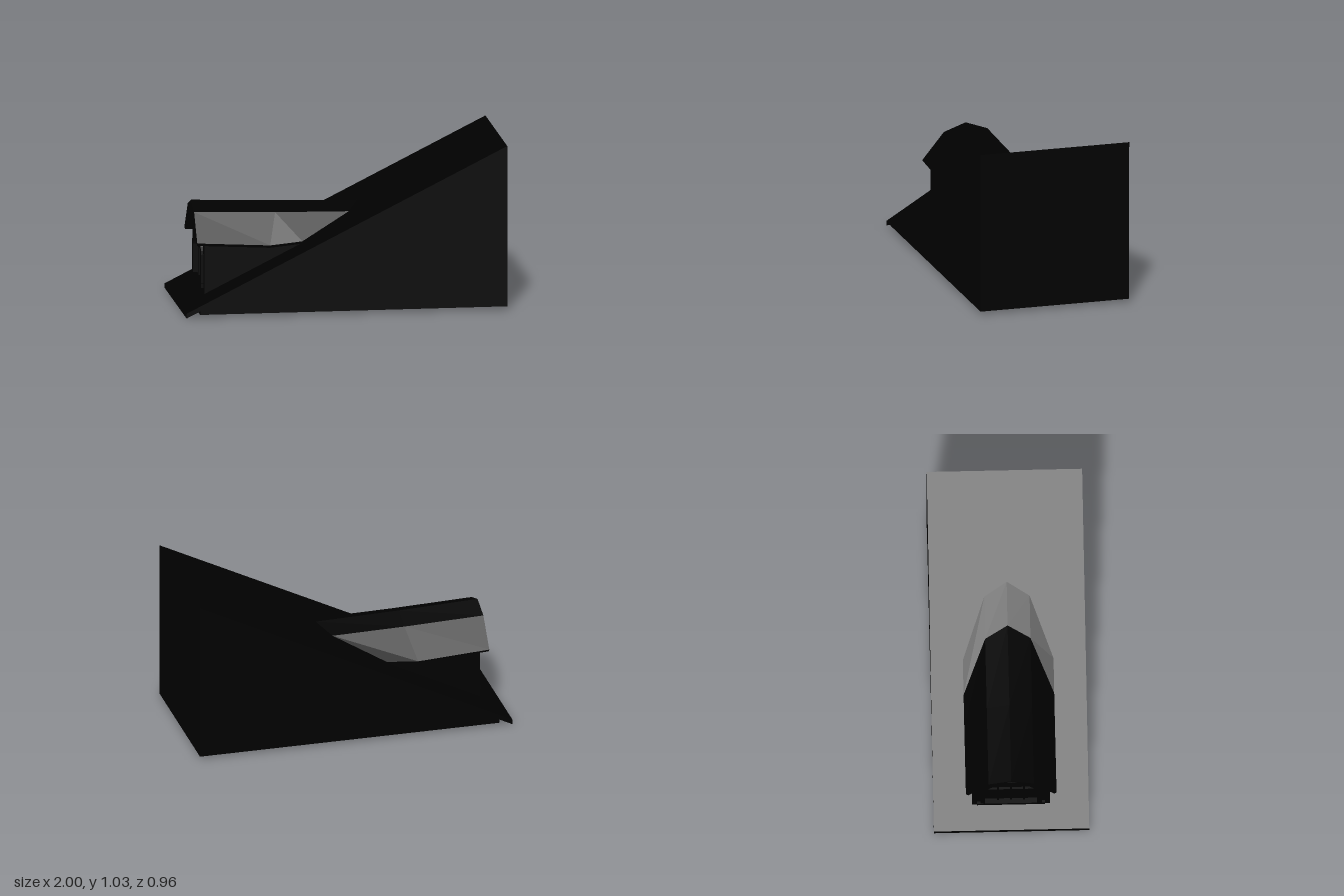
import * as THREE from 'three';

const material = new THREE.MeshStandardMaterial({ color: 0x000000, side: THREE.DoubleSide, flatShading: true });
const HALF = 0.48, THICK = 0.03, SIDE = 0.24, FRONT = -0.855;
const roofY = (x) => 0.03 + 0.5 * (x + 1);

function add(parent, name, geometry, x = 0, y = 0, z = 0) {
  const mesh = new THREE.Mesh(geometry, material);
  mesh.name = name;
  mesh.position.set(x, y, z);
  parent.add(mesh);
  return mesh;
}
const polygon = (pts) => new THREE.Shape(pts.map(([x, y]) => new THREE.Vector2(x, y)));

// Round-topped outline in the plane of the window
function arch(w, bottom, spring, top) {
  const s = new THREE.Shape();
  s.moveTo(-w, bottom);
  s.lineTo(w, bottom);
  s.lineTo(w, spring);
  s.absellipse(0, spring, w, top - spring, 0, Math.PI, false, 0);
  s.lineTo(-w, bottom);
  return s;
}
// Extrudes a (z, y) shape towards -x
function facing(shape, depth) {
  return new THREE.ExtrudeGeometry(shape, { depth, bevelEnabled: false, curveSegments: 12 }).rotateY(-Math.PI / 2);
}

// Sloping slab with an opening under the dormer
function roofSlab() {
  const shape = polygon([[-1, -HALF], [1, -HALF], [1, HALF], [-1, HALF]]);
  shape.holes.push(polygon([[-0.84, -0.23], [-0.84, 0.23], [-0.3, 0.23], [-0.02, 0.12],
    [0.05, 0], [-0.02, -0.12], [-0.3, -0.23]]));
  const g = new THREE.ExtrudeGeometry(shape, { depth: THICK, bevelEnabled: false }).rotateX(Math.PI / 2);
  const p = g.attributes.position;
  for (let i = 0; i < p.count; i++) p.setY(i, p.getY(i) + roofY(p.getX(i)));
  g.computeVertexNormals();
  return g;
}

// Faceted barrel roof that flares out into the main slope
function dormerRoof() {
  const end = (x) => [x, roofY(x) + 0.002];
  const eave = [[-0.905, 0.43], [-0.45, 0.405], [-0.25, 0.425], end(-0.05)];
  const mid = [[-0.905, 0.6], [-0.4, 0.585], [0.06, 0.578], end(0.3)];
  const ridge = [[-0.905, 0.65], [-0.4, 0.632], [0.13, 0.62], end(0.38)];
  const outer = [[0.28, eave], [0.14, mid], [0, ridge], [-0.14, mid], [-0.28, eave]];
  const pos = [], index = [], n = outer.length * 2;
  for (let r = 0; r < 4; r++) {
    for (const [z, path] of outer) pos.push(path[r][0], path[r][1], z);
    for (const [z, path] of [...outer].reverse()) pos.push(path[r][0], path[r][1] - 0.018, z * 0.95);
  }
  for (let r = 0; r < 3; r++) {
    for (let j = 0; j < n; j++) {
      const a = r * n + j, b = r * n + (j + 1) % n;
      index.push(a, a + n, b, b, a + n, b + n);
    }
  }
  // Front and back edges of the shell
  for (let j = 0; j < outer.length - 1; j++) {
    const k = n - 1 - j, e = 3 * n;
    index.push(j, j + 1, k, j + 1, k - 1, k);
    index.push(e + j, e + k, e + j + 1, e + j + 1, e + k, e + k - 1);
  }
  const g = new THREE.BufferGeometry();
  g.setAttribute('position', new THREE.Float32BufferAttribute(pos, 3));
  g.setIndex(index);
  const flat = g.toNonIndexed();
  flat.computeVertexNormals();
  return flat;
}

export function createModel() {
  const model = new THREE.Group();
  model.name = 'roofWithDormer';

  // Main roof and the walls below it, open underneath
  add(model, 'mainRoof', roofSlab());
  const gable = polygon([[-0.915, 0.02], [1, 0.02], [1, roofY(1) - 0.002], [-0.915, roofY(-0.915) - 0.002]]);
  for (const s of [-1, 1]) add(model, 'gableWall', new THREE.ShapeGeometry(gable), 0, 0, s * (HALF - 0.001));
  const wall = (x, top) => add(model, 'endWall',
    new THREE.PlaneGeometry(2 * HALF, top - 0.02).rotateY(Math.PI / 2), x, (top + 0.02) / 2, 0);
  wall(0.999, roofY(1) - 0.002);
  wall(-0.915, roofY(-0.915) - 0.01);

  const dormer = new THREE.Group();
  dormer.name = 'dormer';
  model.add(dormer);
  add(dormer, 'dormerRoof', dormerRoof());

  // Dormer cheeks
  const cheek = polygon([[FRONT, 0.08], [FRONT, 0.46], [-0.4, 0.445], [-0.18, 0.44]]);
  for (const s of [-1, 1]) add(dormer, 'dormerCheek', new THREE.ShapeGeometry(cheek), 0, 0, s * SIDE);

  // Front wall with an arched opening
  const front = polygon([[-SIDE, 0.085], [SIDE, 0.085], [SIDE, 0.465], [0.135, 0.585],
    [0, 0.635], [-0.135, 0.585], [-SIDE, 0.465]]);
  front.holes.push(arch(0.165, 0.15, 0.34, 0.5));
  add(dormer, 'dormerFront', facing(front, 0.03), FRONT + 0.03);

  // Window casing, pane, glazing bars and sill
  const casing = arch(0.19, 0.14, 0.34, 0.525);
  casing.holes.push(arch(0.16, 0.16, 0.34, 0.495));
  add(dormer, 'windowCasing', facing(casing, 0.025), FRONT + 0.01);
  add(dormer, 'windowPane', facing(arch(0.165, 0.15, 0.34, 0.5), 0.004), FRONT + 0.025);
  for (const z of [-0.08, 0, 0.08]) {
    const top = 0.34 + 0.155 * Math.sqrt(1 - (z / 0.16) ** 2);
    add(dormer, 'glazingBar', new THREE.BoxGeometry(0.018, top - 0.15, 0.012), FRONT + 0.016, (top + 0.15) / 2, z);
  }
  add(dormer, 'crossBar', new THREE.BoxGeometry(0.018, 0.012, 0.32), FRONT + 0.016, 0.345, 0);
  add(dormer, 'windowSill', new THREE.BoxGeometry(0.03, 0.025, 0.42), FRONT - 0.001, 0.1475, 0);

  return model;
}
